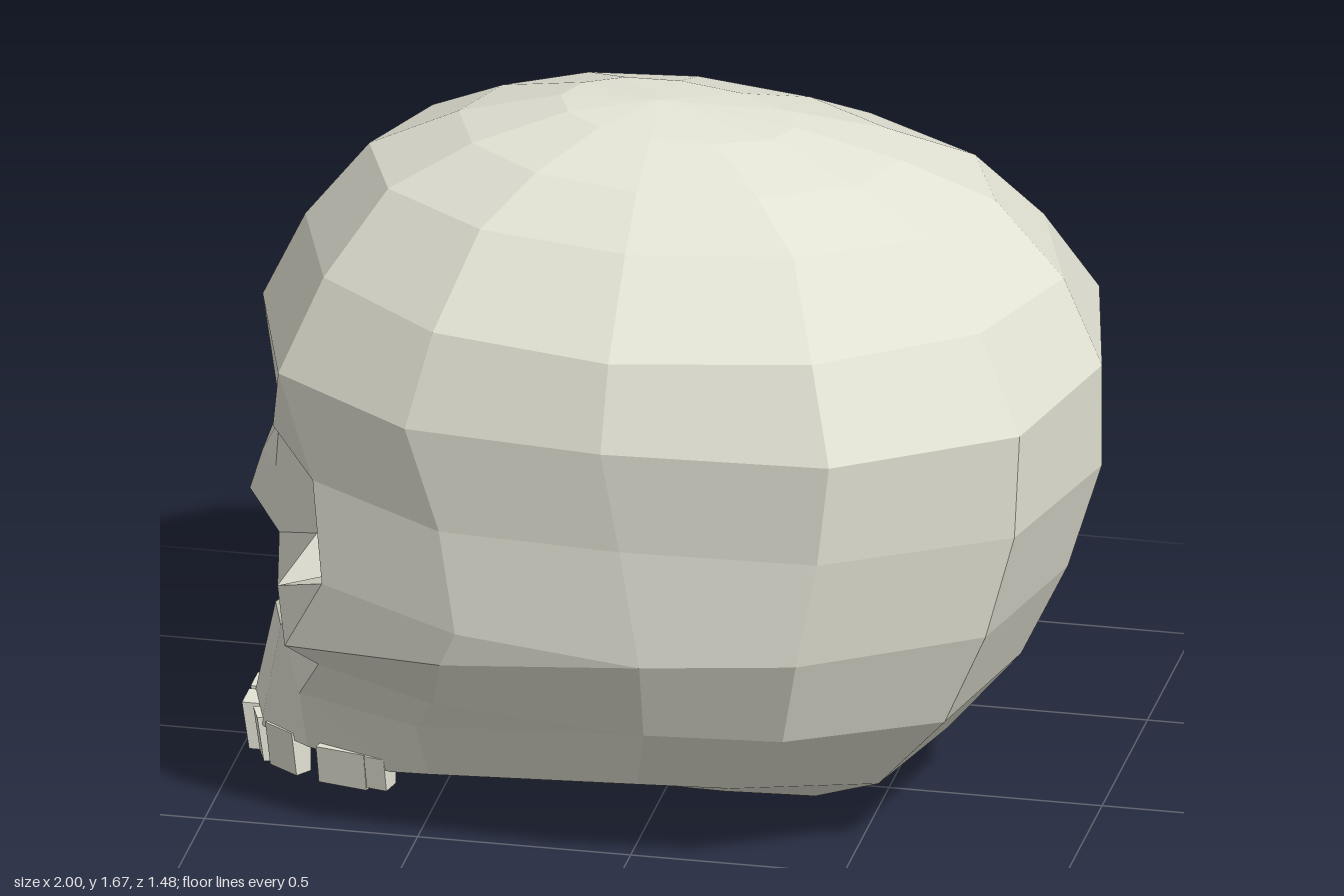
import * as THREE from 'three';

const bone = new THREE.MeshStandardMaterial({ color: 0xe2e2d4, side: THREE.DoubleSide });

// Builds a mesh from flat-shaded polygons of the +z half plus their mirror image
function mirroredMesh(name, polys) {
  const pos = [], nor = [];
  for (const poly of polys) {
    const corners = poly.map(p => new THREE.Vector3(...p));
    const normal = new THREE.Vector3();
    corners.forEach((c, i) => normal.add(c.clone().cross(corners[(i + 1) % corners.length])));
    const [nx, ny, nz] = normal.normalize().toArray();
    for (let i = 1; i < poly.length - 1; i++) {
      const tri = [poly[0], poly[i], poly[i + 1]];
      for (const p of tri) { pos.push(...p); nor.push(nx, ny, nz); }
      for (const p of tri.reverse()) { pos.push(p[0], p[1], -p[2]); nor.push(nx, ny, -nz); }
    }
  }
  const geo = new THREE.BufferGeometry();
  geo.setAttribute('position', new THREE.Float32BufferAttribute(pos, 3));
  geo.setAttribute('normal', new THREE.Float32BufferAttribute(nor, 3));
  const mesh = new THREE.Mesh(geo, bone);
  mesh.name = name;
  return mesh;
}

// Quads between successive rows of points
function loft(rows) {
  const polys = [];
  for (let r = 0; r < rows.length - 1; r++)
    for (let j = 0; j < rows[r].length - 1; j++)
      polys.push([rows[r][j], rows[r][j + 1], rows[r + 1][j + 1], rows[r + 1][j]]);
  return polys;
}

const fan = (loop, tip) => loop.slice(1).map((p, i) => [loop[i], p, tip]);
const mix = (a, b, t) => a + (b - a) * t;

export function createModel() {
  const skull = new THREE.Group();
  skull.name = 'skull';

  // Widest ring, level with the brow, from the back to the forehead
  const brow = [[1, 0], [0.9, 0.44], [0.51, 0.71], [-0.02, 0.74], [-0.49, 0.69], [-0.84, 0.44], [-0.97, 0]]
    .map(([x, z]) => [x, 1.11, z]);

  // Vault rings above it: back x, y, front x, y, half width
  const vault = [
    [0.28, 1.64, -0.27, 1.672, 0.17],
    [0.53, 1.58, -0.51, 1.61, 0.34],
    [0.75, 1.5, -0.72, 1.51, 0.49],
    [0.91, 1.32, -0.87, 1.32, 0.7],
  ].map(([xb, yb, xf, yf, w]) => Array.from({ length: 7 }, (_, j) => {
    const a = j * Math.PI / 6, t = (1 - Math.cos(a)) / 2;
    const s = j === 6 ? 0 : Math.sin(a);
    return [mix(xb, xf, t) - 0.03 * s ** 4, mix(yb, yf, t), w * s];
  }));
  vault.push(brow);

  // Back of the head, from the widest ring down to the rim of the base
  const back = [
    brow.slice(0, 4),
    [[1, 0.86, 0], [0.89, 0.86, 0.45], [0.48, 0.86, 0.7], [0.02, 0.86, 0.72]],
    [[0.92, 0.6, 0], [0.82, 0.6, 0.44], [0.43, 0.6, 0.7], [0.07, 0.58, 0.735]],
    [[0.81, 0.37, 0], [0.72, 0.37, 0.42], [0.38, 0.37, 0.61], [0.06, 0.37, 0.64]],
    [[0.64, 0.17, 0], [0.55, 0.17, 0.35], [0.22, 0.17, 0.45], [0.01, 0.17, 0.47]],
    [[0.43, 0.08, 0], [0.38, 0.08, 0.25], [0.2, 0.14, 0.4], [0, 0.165, 0.45]],
  ];
  const [k0, k1, k2, k3, k4, k5] = back.map(row => row[3]);

  // Temple line
  const t0 = brow[4], t1 = [-0.41, 0.86, 0.69], t2 = [-0.37, 0.61, 0.7], t3 = [-0.41, 0.52, 0.68];
  const t4 = [-0.46, 0.35, 0.52], t5 = [-0.52, 0.25, 0.43], t6 = [-0.5, 0.11, 0.38];

  skull.add(mirroredMesh('cranium', [
    ...fan(vault[0], [-0.04, 1.68, 0]).map(([a, b, c]) => [c, b, a]),
    ...loft(vault), ...loft(back),
    [k0, t0, t1, k1], [k1, t1, t2, k2], [k2, t2, t3], [k2, t3, t4, k3],
    [k3, t4, t5], [k3, t5, t6, k4], [k4, t6, k5],
  ]));

  // Eye socket rim, set back on the side of the nose
  const c5 = brow[5], c6 = brow[6];
  const oA = [-0.88, 0.92, 0.31], oB = [-0.74, 0.89, 0.53], oC = [-0.71, 0.65, 0.57];
  const oD = [-0.85, 0.56, 0.4], oE = [-0.8, 0.61, 0.2], oF = [-0.8, 0.83, 0.17];
  // Nose
  const g = [-0.93, 0.83, 0], gs = [-0.91, 0.84, 0.1], n1 = [-0.97, 0.72, 0], n1s = [-0.92, 0.72, 0.09];
  const n2 = [-1, 0.62, 0], n2s = [-0.91, 0.56, 0.1], p = [-0.85, 0.43, 0.15];
  // Cheek, upper jaw and gum line
  const z1 = [-0.81, 0.46, 0.51], z2 = [-0.75, 0.38, 0.42];
  const m0 = [-0.94, 0.34, 0], m1 = [-0.9, 0.34, 0.13], m2 = [-0.82, 0.25, 0.3];
  const a0 = [-0.99, 0.1, 0], a1 = [-0.94, 0.1, 0.16], a2 = [-0.81, 0.1, 0.26], a3 = [-0.6, 0.09, 0.34];

  skull.add(mirroredMesh('face', [
    [c5, c6, g, gs, oA], [oA, gs, oF], [t0, c5, oB, t1], [c5, oA, oB],
    [t1, oB, oC, t2], [t2, oC, z1, t3], [oC, oD, z1],
    [t3, z1, z2, t4], [t4, z2, m2, t5], [t5, m2, a3, t6], [m2, a2, a3],
    [oD, p, z2, z1], [oD, oE, n2s, p], [z2, p, m1, m2],
    [m2, m1, a1, a2], [m1, m0, a0, a1],
    [gs, g, n1, n1s], [oF, gs, n1s], [oF, n1s, n2s, oE], [n1s, n1, n2, n2s],
  ]));

  // Hollow eye sockets
  const orbit = [oA, oF, oE, oD, oC, oB, oA];
  const deep = orbit.map(([x, y, z]) => [mix(x, -0.62, 0.6), mix(y, 0.74, 0.2), mix(z, 0.34, 0.2)]);
  skull.add(mirroredMesh('eyeSockets', [...loft([orbit, deep]), ...fan(deep, [-0.55, 0.74, 0.32])]));

  // Hollow nose opening
  skull.add(mirroredMesh('noseCavity', fan([m0, m1, p, n2s, n2], [-0.76, 0.48, 0])));

  // Recessed underside and palate
  const rim = [...back[5], t6, a3, a2, a1, a0];
  const inset = (t, lift) => rim.map(([x, y, z]) => [mix(x, -0.2, t), mix(y, 0.4, lift), mix(z, 0, t)]);
  const palate = inset(0.45, 0.8);
  skull.add(mirroredMesh('skullBase', [
    ...loft([rim, inset(0.14, 0.12), palate]), ...fan(palate, [-0.2, 0.42, 0]),
  ]));

  // Teeth: x, z, bottom y, depth, width, turn
  const teeth = new THREE.Group();
  teeth.name = 'teeth';
  const toothRow = [
    [-0.965, 0.048, 0.005, 0.07, 0.08, 0],
    [-0.93, 0.128, 0.01, 0.06, 0.065, 0.35],
    [-0.87, 0.19, 0.01, 0.06, 0.09, 0.95],
    [-0.715, 0.28, 0.025, 0.07, 0.12, 1.35],
    [-0.63, 0.305, 0.035, 0.07, 0.05, 1.35],
  ];
  for (const side of [1, -1]) {
    for (const [x, z, y, d, w, turn] of toothRow) {
      const h = 0.12 - y;
      const geo = new THREE.BoxGeometry(d, h, w);
      const v = geo.attributes.position;
      // Narrow the biting edge toward the inside of the mouth
      for (let i = 0; i < v.count; i++) if (v.getY(i) < 0) v.setX(i, v.getX(i) * 0.75 + 0.008);
      geo.computeVertexNormals();
      const tooth = new THREE.Mesh(geo, bone);
      tooth.name = 'tooth';
      tooth.position.set(x, y + h / 2, z * side);
      tooth.rotation.y = turn * side;
      teeth.add(tooth);
    }
  }
  skull.add(teeth);
  return skull;
}
